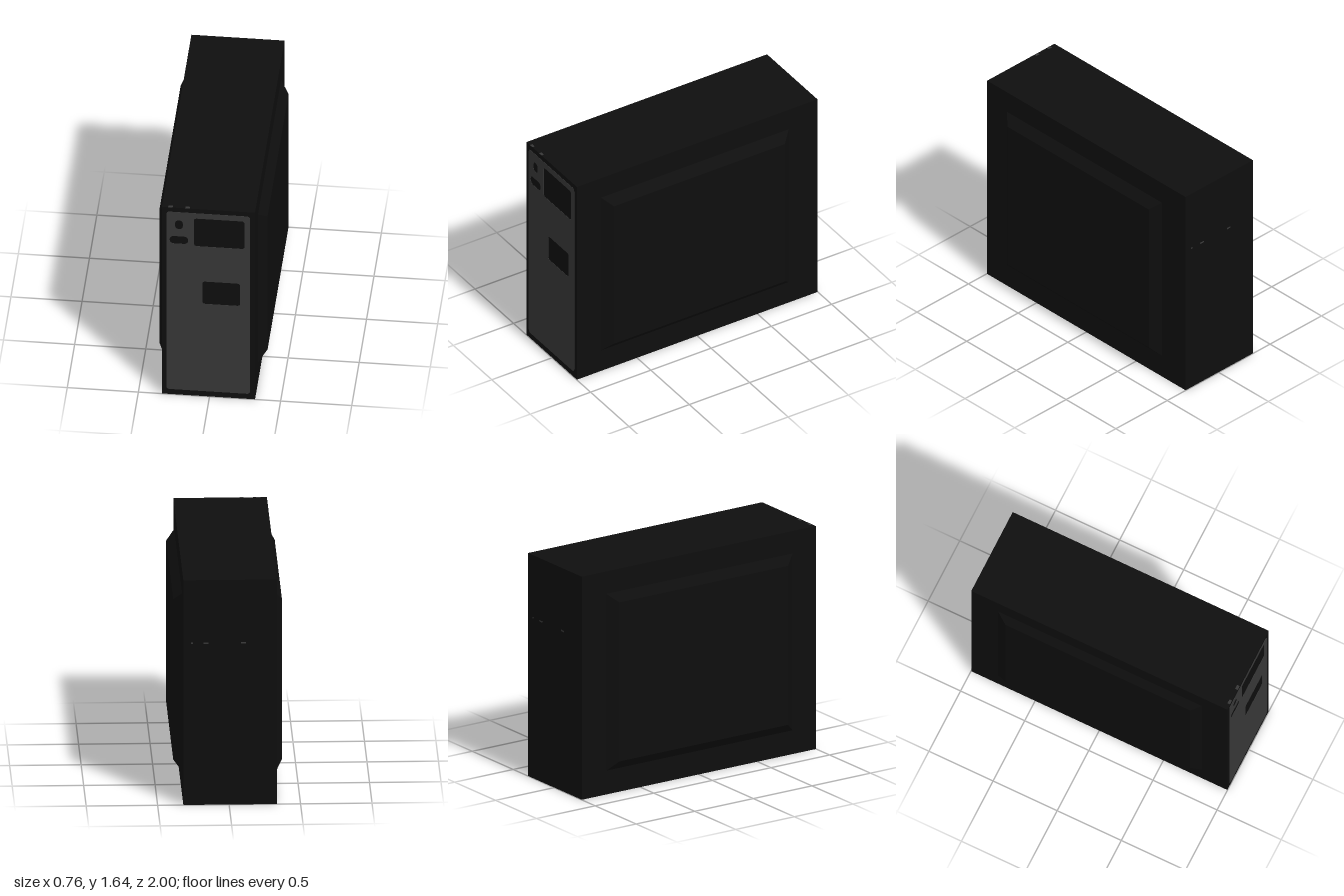
import * as THREE from 'three';

const shell = new THREE.MeshStandardMaterial({ color: 0x0e0e0e });
shell.name = 'black shell';
const grey = new THREE.MeshStandardMaterial({ color: 0x373737 });
grey.name = 'dark grey';

const LEFT = 0.32, RIGHT = -0.335, HEIGHT = 1.64, FACE = 0.998, BULGE = 0.38;

// Traces a rounded rectangle into a Shape or Path
function roundedRect(path, x0, y0, x1, y1, r) {
  path.moveTo(x0 + r, y0);
  path.lineTo(x1 - r, y0);
  path.absarc(x1 - r, y0 + r, r, -Math.PI / 2, 0);
  path.lineTo(x1, y1 - r);
  path.absarc(x1 - r, y1 - r, r, 0, Math.PI / 2);
  path.lineTo(x0 + r, y1);
  path.absarc(x0 + r, y1 - r, r, Math.PI / 2, Math.PI);
  path.lineTo(x0, y0 + r);
  path.absarc(x0 + r, y0 + r, r, Math.PI, Math.PI * 1.5);
  return path;
}

// Box between two corners
function box(name, material, [x0, y0, z0], [x1, y1, z1]) {
  const mesh = new THREE.Mesh(new THREE.BoxGeometry(x1 - x0, y1 - y0, z1 - z0), material);
  mesh.position.set((x0 + x1) / 2, (y0 + y1) / 2, (z0 + z1) / 2);
  mesh.name = name;
  return mesh;
}

// Raised side panel: a box whose outer face is smaller than its base
function sidePanel(name, side, wallX, backBase, backOuter) {
  const geometry = new THREE.BoxGeometry(1, 1, 1);
  const p = geometry.attributes.position;
  for (let i = 0; i < p.count; i++) {
    const outer = p.getX(i) * side > 0;
    const y = p.getY(i) > 0 ? (outer ? 1.41 : 1.475) : (outer ? 0.24 : 0.175);
    const z = p.getZ(i) > 0 ? (outer ? 0.73 : 0.8) : (outer ? backOuter : backBase);
    p.setXYZ(i, outer ? side * BULGE : wallX, y, z);
  }
  geometry.computeVertexNormals();
  const mesh = new THREE.Mesh(geometry, shell);
  mesh.name = name;
  return mesh;
}

export function createModel() {
  const model = new THREE.Group();
  model.name = 'computerTower';

  // Case with a raised panel on each side
  model.add(box('case', shell, [RIGHT, 0, -FACE], [LEFT, HEIGHT, FACE]));
  model.add(sidePanel('leftSidePanel', 1, LEFT, -0.76, -0.69));
  model.add(sidePanel('rightSidePanel', -1, RIGHT, -0.79, -0.71));

  // Front plate, cut out for the drive bay, port bay, power button and slot
  const plate = roundedRect(new THREE.Shape(), -0.303, 0.045, 0.285, 1.603, 0.022);
  const cutouts = [
    [-0.11, 1.315, 0.247, 1.557, 0.02],
    [-0.05, 0.812, 0.215, 1.008, 0.02],
    [-0.242, 1.455, -0.188, 1.532, 0.026],
    [-0.28, 1.327, -0.15, 1.392, 0.03],
  ];
  for (const c of cutouts) plate.holes.push(roundedRect(new THREE.Path(), ...c));
  const front = new THREE.Mesh(
    new THREE.ExtrudeGeometry(plate, { depth: 0.002, bevelEnabled: false, curveSegments: 6 }), grey);
  front.position.z = FACE;
  front.name = 'frontPlate';
  model.add(front);

  // Two small tabs on the top front edge
  for (const x of [-0.275, -0.155]) {
    model.add(box('topTab', grey, [x - 0.016, HEIGHT, 0.978], [x + 0.016, HEIGHT + 0.001, 0.998]));
  }

  // Small marks across the back
  for (const [x, w] of [[0.26, 0.012], [0.16, 0.035], [-0.1, 0.035]]) {
    model.add(box('backMark', grey, [x - w / 2, 1.174, -1], [x + w / 2, 1.184, -FACE]));
  }
  return model;
}
